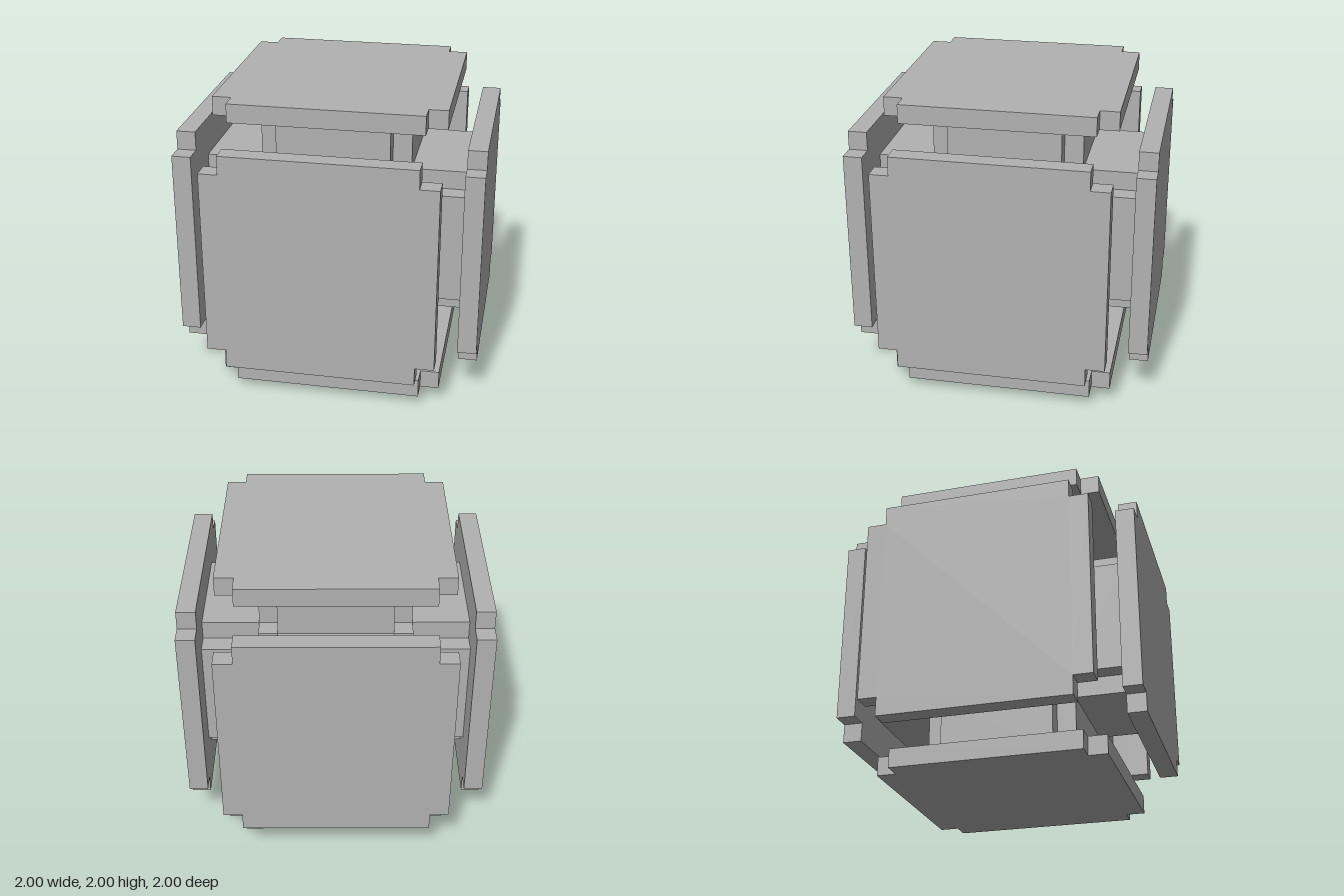
import * as THREE from 'three';

// Square of half-size r with a notch of size n cut from each corner, extruded along +z from z0 to z1
function notchedSlab(r, n, z0, z1) {
  const i = r - n;
  const points = [
    [r, -i], [r, i], [i, i], [i, r], [-i, r], [-i, i],
    [-r, i], [-r, -i], [-i, -i], [-i, -r], [i, -r], [i, -i],
  ].map(([x, y]) => new THREE.Vector2(x, y));
  const geometry = new THREE.ExtrudeGeometry(new THREE.Shape(points), { depth: z1 - z0, bevelEnabled: false });
  return geometry.translate(0, 0, z0);
}

export function createModel() {
  const model = new THREE.Group();
  model.name = 'panelledCube';
  const grey = new THREE.MeshStandardMaterial({ color: 0xb2b2b2 });
  grey.name = 'grey';
  const step = 0.125;

  // Solid inner cube
  const core = new THREE.Mesh(new THREE.BoxGeometry(1, 1, 1), grey);
  core.name = 'core';
  core.position.y = 1;
  model.add(core);

  // Six identical arms: a notched neck carrying a wide notched panel
  const neckGeometry = notchedSlab(0.5, step, 0.5, 0.875);
  const panelGeometry = notchedSlab(0.75, step, 0.875, 1);
  const sides = {
    front: [0, 0], left: [0, Math.PI / 2], back: [0, Math.PI], right: [0, -Math.PI / 2],
    top: [-Math.PI / 2, 0], bottom: [Math.PI / 2, 0],
  };
  for (const [side, [rx, ry]] of Object.entries(sides)) {
    const arm = new THREE.Group();
    arm.name = side + 'Arm';
    arm.position.y = 1;
    arm.rotation.set(rx, ry, 0);
    const neck = new THREE.Mesh(neckGeometry, grey);
    neck.name = side + 'Neck';
    const panel = new THREE.Mesh(panelGeometry, grey);
    panel.name = side + 'Panel';
    arm.add(neck, panel);
    model.add(arm);
  }
  return model;
}
